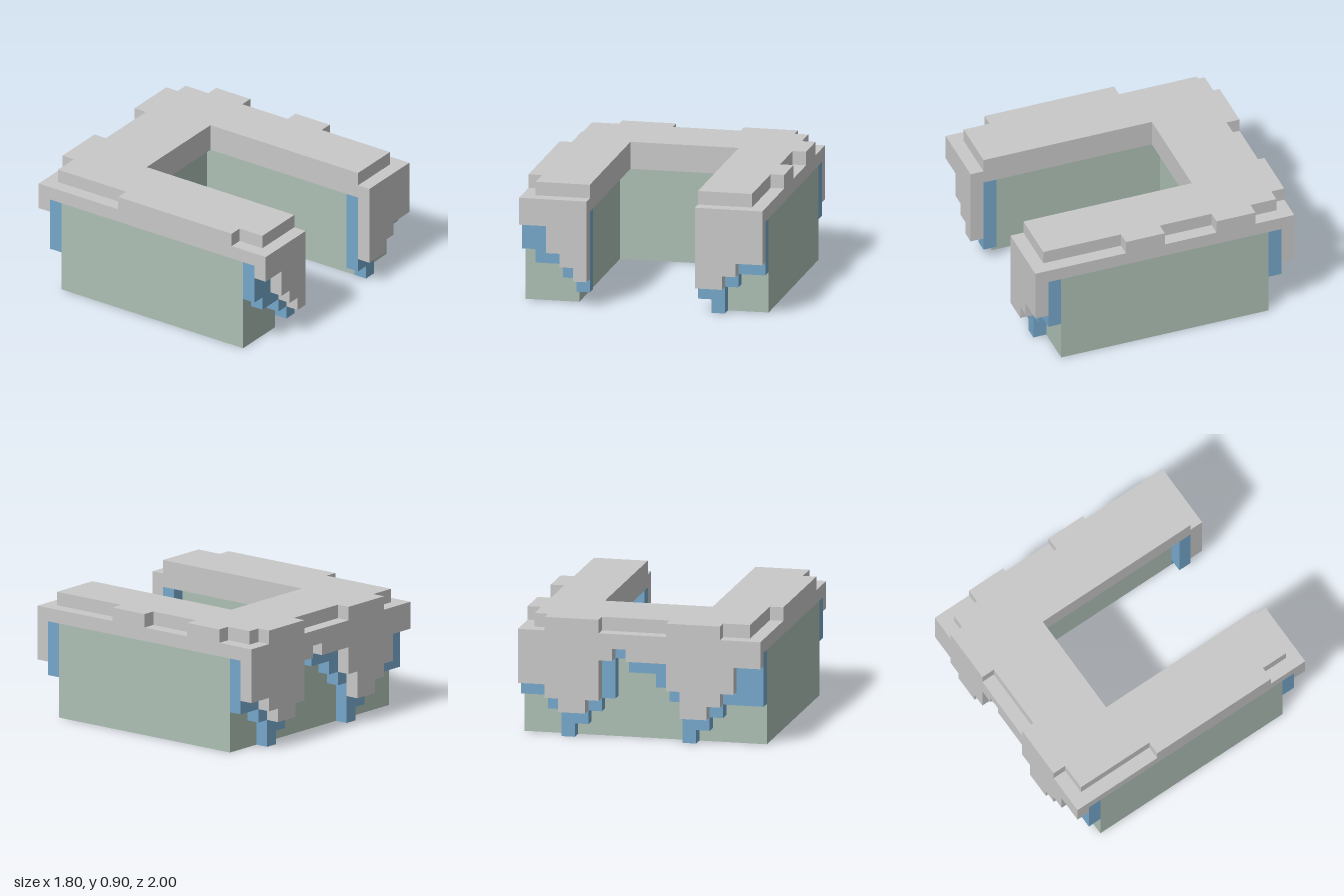
import * as THREE from 'three';

export function createModel() {
  const model = new THREE.Group();
  const material = (name, color) => {
    const m = new THREE.MeshStandardMaterial({ color });
    m.name = name;
    return m;
  };
  const grey = material('pale grey', 0xc8c8c8);
  const blue = material('blue', 0x75a7ca);
  const green = material('grey green', 0xadbfb4);

  const shapeOf = (pts) => new THREE.Shape(pts.map(([x, y]) => new THREE.Vector2(x, y)));
  const add = (name, geometry, mat) => {
    const mesh = new THREE.Mesh(geometry, mat);
    mesh.name = name;
    model.add(mesh);
  };

  // Floor-plan outline given as [x, z], raised from y0 to y1
  const layer = (name, plan, y0, y1, mat) => {
    const g = new THREE.ExtrudeGeometry(shapeOf(plan.map(([x, z]) => [x, -z])),
      { depth: y1 - y0, bevelEnabled: false });
    g.rotateX(-Math.PI / 2);
    g.translate(0, y0, 0);
    add(name, g, mat);
  };

  // Hanging curtain with a stepped lower edge: steps are [right end x, bottom y]
  const curtain = (name, x0, steps, z0, mat) => {
    const pts = [[x0, 0.7]];
    let x = x0;
    for (const [end, y] of steps) {
      pts.push([x, y], [end, y]);
      x = end;
    }
    pts.push([x, 0.7]);
    const g = new THREE.ExtrudeGeometry(shapeOf(pts), { depth: 0.1, bevelEnabled: false });
    g.translate(0, 0, z0);
    add(name, g, mat);
  };

  // U-shaped walls and the overhanging roof slab
  const uPlan = (front, back, innerX, innerZ) => [
    [-0.9, front], [-innerX, front], [-innerX, innerZ], [innerX, innerZ],
    [innerX, front], [0.9, front], [0.9, back], [-0.9, back]];
  layer('walls', uPlan(0.8, -0.8, 0.5, -0.5), 0, 0.7, green);
  layer('roofSlab', uPlan(1, -1, 0.4, -0.4), 0.7, 0.8, grey);

  // Top layer with a ragged outer edge
  layer('roofTop', [
    [-0.8, 0.9], [-0.4, 0.9], [-0.4, -0.4], [0.4, -0.4], [0.4, 0.9], [0.8, 0.9],
    [0.8, 0.3], [0.9, 0.3], [0.9, 0], [0.8, 0], [0.8, -0.4], [0.9, -0.4],
    [0.9, -0.7], [0.8, -0.7], [0.8, -0.9], [0.7, -0.9], [0.7, -1], [0.3, -1],
    [0.3, -0.9], [-0.2, -0.9], [-0.2, -1], [-0.6, -1], [-0.6, -0.9], [-0.8, -0.9],
    [-0.8, -0.3], [-0.9, -0.3], [-0.9, 0.7], [-0.8, 0.7]], 0.8, 0.9, grey);

  // Front curtains, grey outside and blue behind
  curtain('frontRightDrip', -0.9, [[-0.7, 0.6], [-0.6, 0.4], [-0.5, 0.3], [-0.4, 0.2]], 0.9, grey);
  curtain('frontRightUnderDrip', -0.9,
    [[-0.8, 0.4], [-0.6, 0.3], [-0.5, 0.2], [-0.4, 0.1]], 0.8, blue);
  curtain('frontLeftDrip', 0.4, [[0.6, 0.2], [0.7, 0.3], [0.9, 0.4]], 0.9, grey);
  curtain('frontLeftUnderDrip', 0.4,
    [[0.5, 0.1], [0.6, 0], [0.7, 0.2], [0.9, 0.3]], 0.8, blue);

  // Back curtains across the full width
  curtain('backDrip', -0.9, [
    [-0.7, 0.6], [-0.6, 0.4], [-0.5, 0.3], [-0.3, 0.2], [-0.2, 0.4], [0.1, 0.6],
    [0.2, 0.69], [0.3, 0.6], [0.4, 0.3], [0.6, 0.2], [0.7, 0.3], [0.9, 0.4]], -1, grey);
  curtain('backUnderDrip', -0.9, [
    [-0.6, 0.3], [-0.5, 0.2], [-0.4, 0.1], [-0.3, 0], [-0.2, 0.3], [-0.1, 0.4],
    [0.1, 0.5], [0.2, 0.6], [0.3, 0.3], [0.4, 0.2], [0.5, 0.1], [0.6, 0],
    [0.7, 0.2], [0.9, 0.3]], -0.9, blue);

  return model;
}
